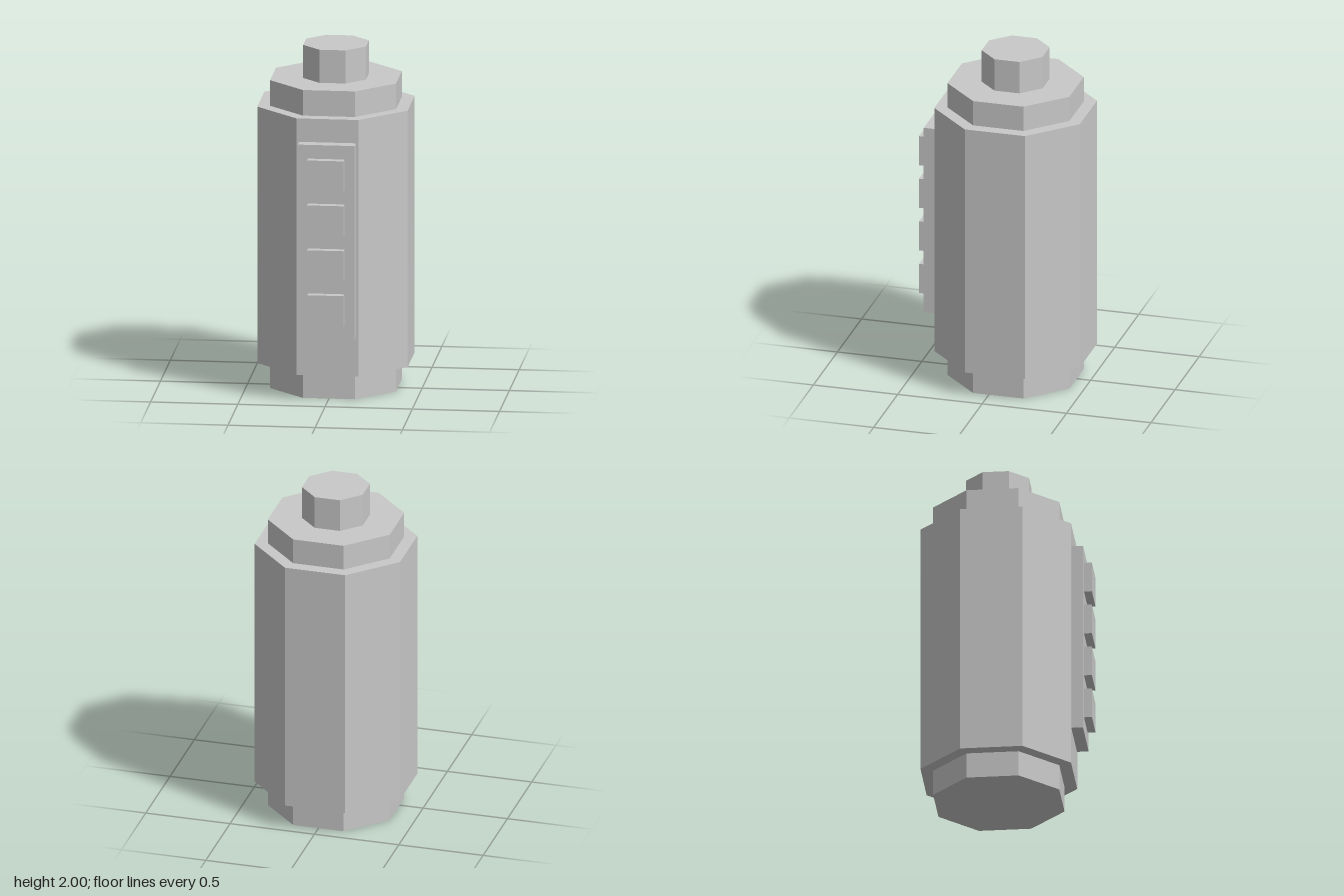
import * as THREE from 'three';

const AXIS_Z = -0.056; // the octagonal body sits slightly behind centre

export function createModel() {
  const model = new THREE.Group();
  model.name = 'canister';
  const grey = new THREE.MeshStandardMaterial({ color: 0xc8c8c8 });
  grey.name = 'lightGrey';

  function add(name, geometry, x, y, z) {
    const mesh = new THREE.Mesh(geometry, grey);
    mesh.name = name;
    mesh.position.set(x, y, z);
    model.add(mesh);
  }

  // Octagonal prism with a flat facing front, sized across its flats
  function prism(name, apothem, y0, y1) {
    const radius = apothem / Math.cos(Math.PI / 8);
    const geometry = new THREE.CylinderGeometry(radius, radius, y1 - y0, 8)
      .rotateY(Math.PI / 8)
      .toNonIndexed();
    geometry.computeVertexNormals(); // faceted sides
    add(name, geometry, 0, (y0 + y1) / 2, AXIS_Z);
  }

  function block(name, width, y0, y1, z0, z1) {
    const geometry = new THREE.BoxGeometry(width, y1 - y0, z1 - z0);
    add(name, geometry, 0, (y0 + y1) / 2, (z0 + z1) / 2);
  }

  // Stacked octagonal sections
  prism('base', 0.361, 0, 0.152);
  prism('body', 0.431, 0.152, 1.656);
  prism('collar', 0.361, 1.656, 1.806);
  prism('topKnob', 0.18, 1.806, 2);

  // Front panel with a column of four buttons
  block('frontPanel', 0.326, 0.378, 1.519, 0.365, 0.442);
  for (let i = 0; i < 4; i++) {
    const y = 0.558 + i * 0.2635;
    block(`button${i + 1}`, 0.209, y - 0.09, y + 0.09, 0.432, 0.487);
  }

  return model;
}
